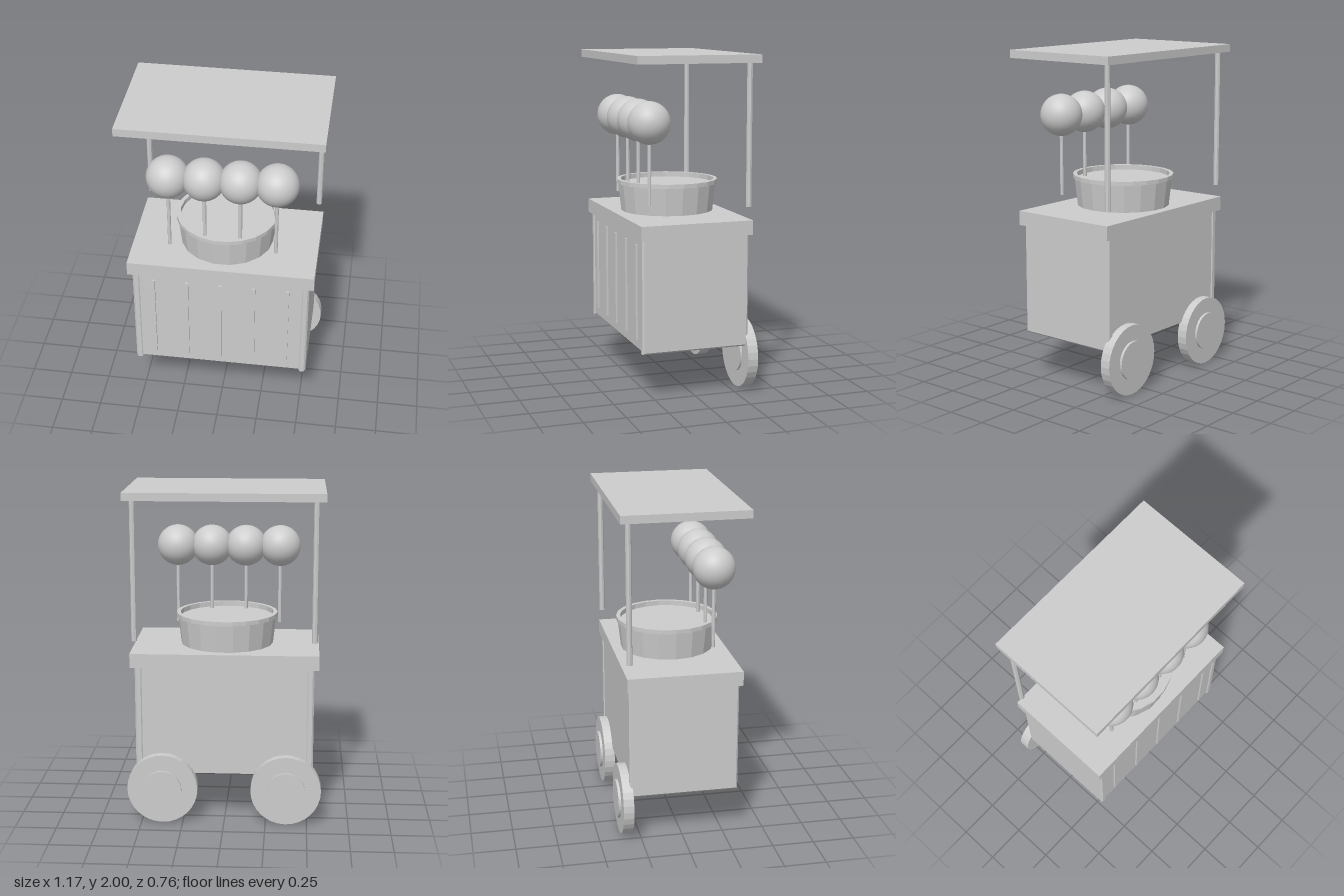
import * as THREE from 'three';

export function createModel() {
  const cart = new THREE.Group();
  cart.name = 'vendorCart';
  const grey = new THREE.MeshStandardMaterial({ color: 0xcccccc });
  grey.name = 'plain grey';

  const add = (name, geometry, x, y, z) => {
    const mesh = new THREE.Mesh(geometry, grey);
    mesh.name = name;
    mesh.position.set(x, y, z);
    cart.add(mesh);
    return mesh;
  };
  // Faceted normals
  const flat = (geometry) => {
    const g = geometry.toNonIndexed();
    g.computeVertexNormals();
    return g;
  };
  // Box given by its limits
  const box = (name, x0, x1, y0, y1, z0, z1) =>
    add(name, new THREE.BoxGeometry(x1 - x0, y1 - y0, z1 - z0), (x0 + x1) / 2, (y0 + y1) / 2, (z0 + z1) / 2);
  // Upright round bar between two heights
  const bar = (name, r, x, y0, y1, z) =>
    add(name, flat(new THREE.CylinderGeometry(r, r, y1 - y0, 8)), x, (y0 + y1) / 2, z);
  // Faceted turned part
  const turned = (name, profile, sides, z) => {
    const points = profile.map(([r, y]) => new THREE.Vector2(r, y));
    const mesh = add(name, flat(new THREE.LatheGeometry(points, sides)), 0, 0, z);
    mesh.rotation.y = Math.PI / sides;
  };

  // Cabinet and counter
  box('cabinet', -0.51, 0.51, 0.3, 0.96, -0.314, 0.327);
  box('counter', -0.561, 0.561, 0.957, 1.043, -0.333, 0.349);

  // Chamfered side panels, a little longer than the cabinet
  const c = 0.01;
  const outline = new THREE.Shape();
  outline.moveTo(-0.333 + c, 0.285 + c);
  outline.lineTo(0.32 - c, 0.285 + c);
  outline.lineTo(0.32 - c, 0.96);
  outline.lineTo(-0.333 + c, 0.96);
  outline.closePath();
  const panel = new THREE.ExtrudeGeometry(outline, {
    depth: 0.025, bevelEnabled: true, bevelSize: c, bevelThickness: c, bevelSegments: 1,
  });
  panel.rotateY(Math.PI / 2);
  panel.translate(-0.0125, 0, 0);
  for (const s of [-1, 1]) add(s > 0 ? 'leftSidePanel' : 'rightSidePanel', panel, s * 0.511, 0, 0);

  // Front battens
  for (const x of [-0.407, -0.203, 0, 0.203, 0.407])
    box('frontBatten', x - 0.009, x + 0.009, 0.35, 0.915, 0.32, 0.339);

  // Wheels with hubs at the back
  for (const x of [-0.372, 0.372]) {
    const tyre = add('wheel', flat(new THREE.CylinderGeometry(0.212, 0.212, 0.063, 32)), x, 0.212, -0.334);
    const hub = add('wheelHub', flat(new THREE.CylinderGeometry(0.116, 0.116, 0.09, 32)), x, 0.212, -0.336);
    tyre.rotation.x = hub.rotation.x = Math.PI / 2;
  }

  // Basin with a segmented rim and its contents
  turned('basin', [[0, 1.04], [0.281, 1.04], [0.3, 1.215]], 18, 0.005);
  turned('basinRim', [
    [0.29, 1.21], [0.308, 1.21], [0.308, 1.235], [0.284, 1.235], [0.284, 1.205], [0, 1.205],
  ], 22, 0.005);

  // Row of balls on sticks
  for (const x of [-0.318, -0.106, 0.106, 0.318]) {
    bar('stick', 0.011, x, 1.12, 1.52, 0.222);
    add('ball', new THREE.SphereGeometry(0.126, 32, 20), x, 1.605, 0.222);
  }

  // Canopy on two back poles
  box('canopy', -0.587, 0.587, 1.953, 2, -0.367, 0.377);
  for (const x of [-0.532, 0.532]) bar('canopyPole', 0.017, x, 1.12, 1.96, -0.315);

  return cart;
}
